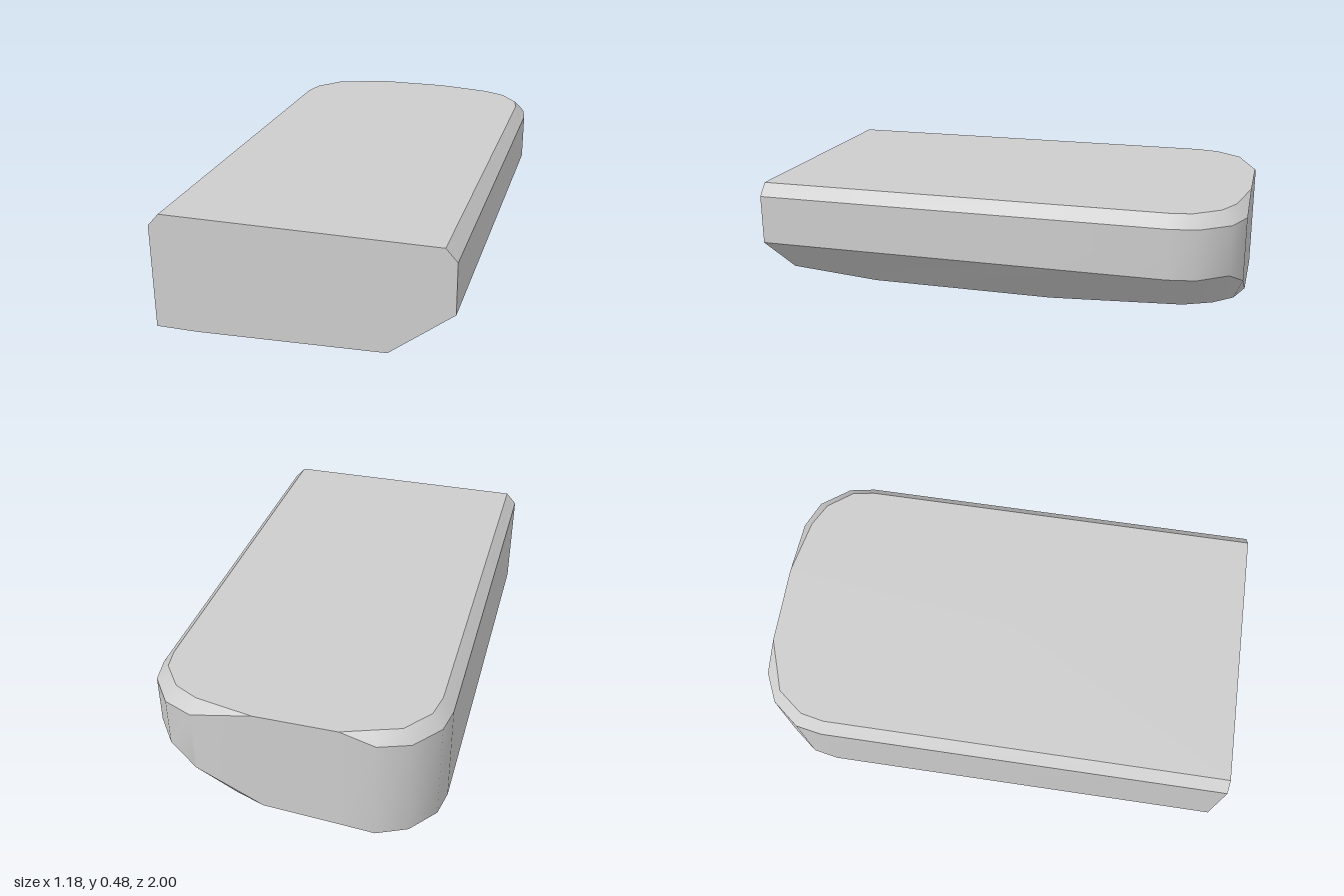
import * as THREE from 'three';
import { toCreasedNormals } from 'three/addons/utils/BufferGeometryUtils.js';

const TOP = 0.48;

// Stations from the front of the +x side, round the back, to the front of the -x side:
// bottom x, y, z | wall x, z | wall low y, high y | top x, z
const STATIONS = [
  [0.34, 0.03, 1, 0.59, 1, 0.225, 0.43, 0.545, 1],
  [0.34, 0, 0.6, 0.59, 0.6, 0.225, 0.43, 0.545, 0.6],
  [0.34, 0, -0.2, 0.59, -0.2, 0.225, 0.43, 0.545, -0.2],
  [0.325, 0.022, -0.76, 0.59, -0.72, 0.225, 0.43, 0.545, -0.71],
  [0.28, 0.027, -0.88, 0.57, -0.83, 0.225, 0.43, 0.53, -0.8],
  [0.21, 0.03, -0.96, 0.48, -0.95, 0.225, 0.43, 0.45, -0.905],
  [0.09, 0.03, -1, 0.36, -1, 0.165, 0.43, 0.35, -0.955],
  [0.09, 0.03, -1, 0.09, -1, 0.03, 0.48, 0.11, -1],
  [-0.22, 0.01, -1, -0.22, -1, 0.01, 0.48, -0.22, -1],
  [-0.36, 0, -1, -0.36, -1, 0, 0.44, -0.34, -0.956],
  [-0.48, 0, -0.945, -0.48, -0.945, 0, 0.43, -0.44, -0.92],
  [-0.57, 0, -0.83, -0.57, -0.83, 0, 0.43, -0.525, -0.81],
  [-0.59, 0, -0.72, -0.59, -0.72, 0, 0.43, -0.545, -0.71],
  [-0.59, 0, 1, -0.59, 1, 0, 0.43, -0.545, 1],
];

function buildBody() {
  const V = (x, y, z) => new THREE.Vector3(x, y, z);
  const positions = [];
  const triangle = new THREE.Triangle();
  const tri = (a, b, c) => {
    if (triangle.set(a, b, c).getArea() < 1e-6) return;
    for (const p of [a, b, c]) positions.push(p.x, p.y, p.z);
  };
  const fan = (centre, loop) => loop.forEach((p, i) => tri(centre, p, loop[(i + 1) % loop.length]));

  // Each station is a short column: bottom, lower wall, upper wall, top
  const columns = STATIONS.map(([bx, by, bz, wx, wz, low, high, tx, tz]) =>
    [V(bx, by, bz), V(wx, low, wz), V(wx, high, wz), V(tx, TOP, tz)]);

  // Lower bevel, walls and top chamfer
  for (let i = 0; i < columns.length - 1; i++) {
    const a = columns[i], b = columns[i + 1];
    for (let j = 0; j < 3; j++) {
      tri(a[j], b[j], b[j + 1]);
      tri(a[j], b[j + 1], a[j + 1]);
    }
  }

  // Top, underside and flat front
  const frontFoot = V(-0.42, 0, 1);
  const right = columns[0], left = columns[columns.length - 1];
  fan(V(0, TOP, 0), columns.map((c) => c[3]));
  fan(V(-0.1, 0, 0.2), [...columns.map((c) => c[0]), frontFoot].reverse());
  fan(V(0, 0.25, 1), [...right, ...[...left].reverse(), frontFoot]);

  const geometry = new THREE.BufferGeometry();
  geometry.setAttribute('position', new THREE.Float32BufferAttribute(positions, 3));
  return toCreasedNormals(geometry, 0.6);
}

export function createModel() {
  const grey = new THREE.MeshStandardMaterial({ color: 0xcccccc });
  grey.name = 'light grey';
  const body = new THREE.Mesh(buildBody(), grey);
  body.name = 'body';
  const group = new THREE.Group();
  group.name = 'bevelledBlock';
  group.add(body);
  return group;
}
